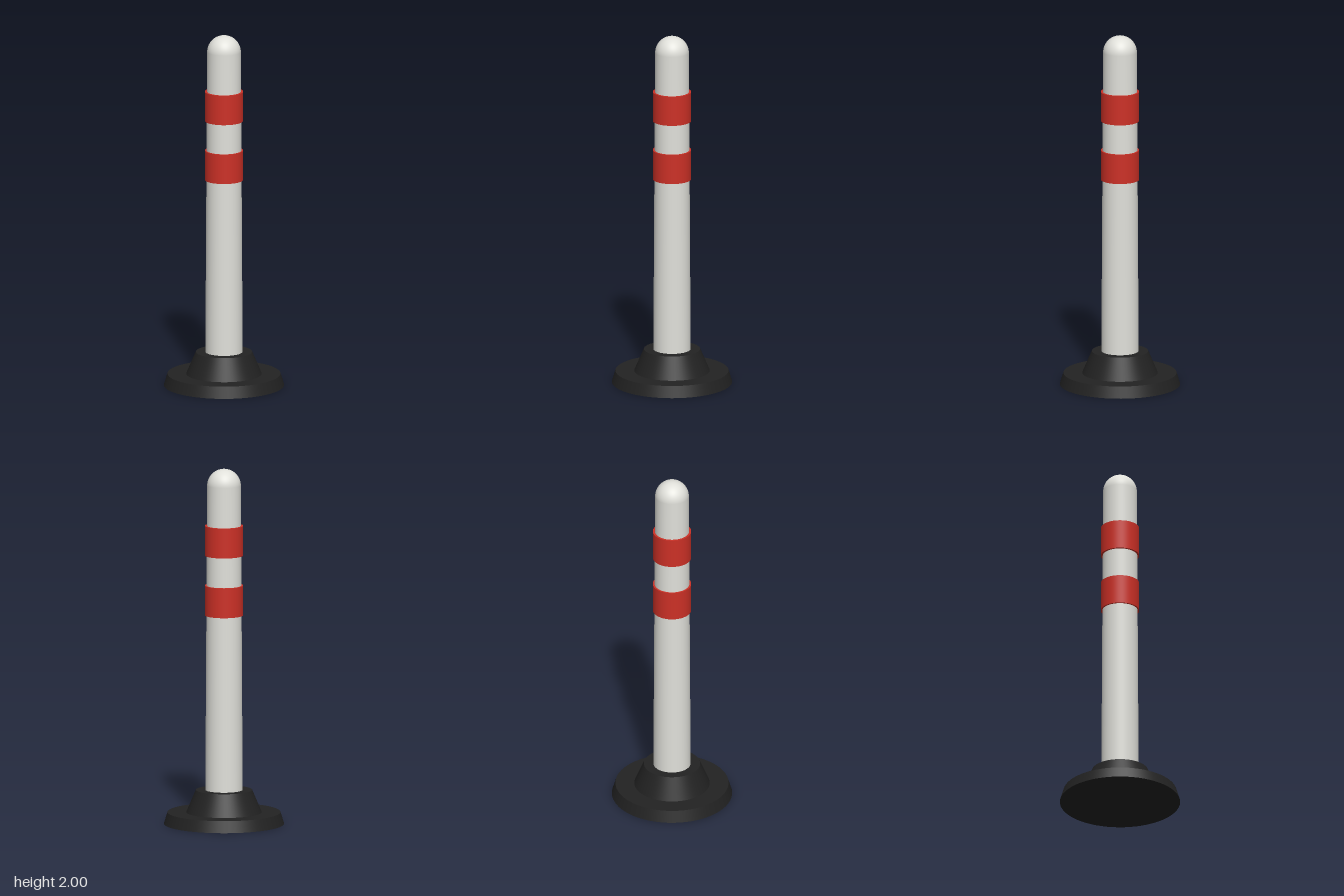
import * as THREE from 'three';

export function createModel() {
  const model = new THREE.Group();
  const material = (name, color) => {
    const m = new THREE.MeshStandardMaterial({ color });
    m.name = name;
    return m;
  };
  const white = material('off-white plastic', 0xe0e0da);
  const red = material('red band', 0xcc3026);
  const black = material('black rubber', 0x222222);

  const add = (name, geometry, mat, y) => {
    const mesh = new THREE.Mesh(geometry, mat);
    mesh.name = name;
    mesh.position.y = y;
    model.add(mesh);
  };
  // Capped, tapered cylinder spanning two heights
  const taper = (name, mat, rBottom, rTop, y0, y1) =>
    add(name, new THREE.CylinderGeometry(rTop, rBottom, y1 - y0, 64), mat, (y0 + y1) / 2);

  // Weighted foot: wide disc and raised collar
  taper('baseDisc', black, 0.335, 0.315, 0, 0.065);
  taper('baseCollar', black, 0.21, 0.157, 0.065, 0.19);

  // Slightly tapering post with a domed tip
  const tipRadius = 0.094;
  const shoulder = 2 - tipRadius;
  taper('post', white, 0.104, tipRadius, 0.19, shoulder);
  add('domeCap', new THREE.SphereGeometry(tipRadius, 64, 20, 0, Math.PI * 2, 0, Math.PI / 2), white, shoulder);

  // Two raised bands
  for (const [name, y0] of [['lowerBand', 1.175], ['upperBand', 1.512]]) {
    taper(name, red, 0.107, 0.107, y0, y0 + 0.168);
  }
  return model;
}
